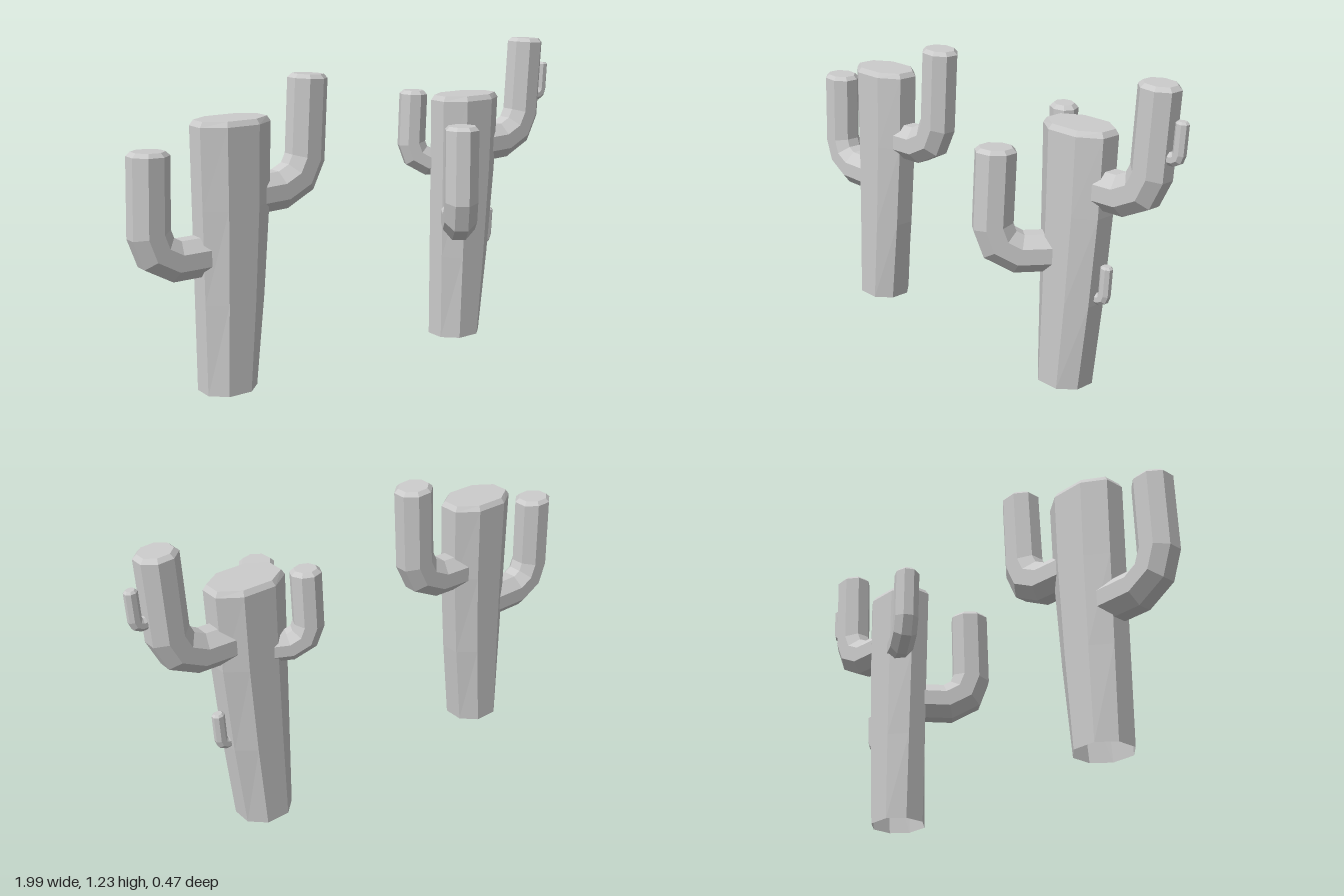
import * as THREE from 'three';

const material = new THREE.MeshStandardMaterial({ color: 0xcccccc, flatShading: true, side: THREE.DoubleSide });
const SIDES = 8;

// Skins a list of eight-point rings and closes the last one with a flat cap
function loft(rings, name) {
  const last = rings.length - 1;
  const centre = rings[last].reduce((s, p) => s.add(p), new THREE.Vector3()).divideScalar(SIDES);
  const points = [...rings.flat(), centre];
  const index = [];
  for (let i = 0; i <= last; i++) {
    for (let j = 0; j < SIDES; j++) {
      const a = i * SIDES + j;
      const b = i * SIDES + (j + 1) % SIDES;
      if (i < last) index.push(a, b, b + SIDES, a, b + SIDES, a + SIDES);
      else index.push(a, b, points.length - 1);
    }
  }
  const geometry = new THREE.BufferGeometry().setFromPoints(points);
  geometry.setIndex(index);
  geometry.computeVertexNormals();
  const mesh = new THREE.Mesh(geometry, material);
  mesh.name = name;
  return mesh;
}

// Bent limb: path of [outward, up] points, mitred at each bend, bevelled tip
function limb(name, path, width, depth, bevel = 0.015) {
  const pts = path.map(([x, y]) => new THREE.Vector2(x, y));
  const n = pts.length;
  const endDir = pts[n - 1].clone().sub(pts[n - 2]).normalize();
  const tip = pts[n - 1].clone();
  pts[n - 1].addScaledVector(endDir, -bevel);
  pts.push(tip);
  const rings = pts.map((p, i) => {
    const before = p.clone().sub(pts[Math.max(i - 1, 0)]).normalize();
    const after = pts[Math.min(i + 1, n)].clone().sub(p).normalize();
    const t = before.clone().add(after).normalize();
    const mitre = i > 0 && i < n ? 1 / Math.max(t.dot(after), 0.8) : 1;
    const s = (i === n ? 1 - bevel / width : 1) / Math.cos(Math.PI / SIDES);
    return Array.from({ length: SIDES }, (_, j) => {
      const a = (j + 0.5) * 2 * Math.PI / SIDES;
      const u = Math.cos(a) * width * s * mitre;
      return new THREE.Vector3(p.x - t.y * u, p.y + t.x * u, Math.sin(a) * depth * s);
    });
  });
  return loft(rings, name);
}

// Places a limb so that it grows towards (dx, dz)
function place(mesh, x, y, z, dx, dz) {
  mesh.position.set(x, y, z);
  mesh.rotation.y = Math.atan2(-dz, dx);
  return mesh;
}

// Trunk: straight on one side, flaring on the other, open underneath
function trunk() {
  const section = [[-1, -0.42], [-1, 0.42], [-0.45, 1], [0.45, 1], [1, 0.42], [1, -0.42], [0.45, -1], [-0.45, -1]];
  const levels = [ // height, left, right, half depth
    [0, -0.135, 0.075, 0.095], [0.35, -0.135, 0.115, 0.095], [0.7, -0.135, 0.145, 0.095],
    [1.0, -0.135, 0.157, 0.095], [1.02, -0.122, 0.145, 0.083],
  ];
  return loft(levels.map(([y, l, r, d]) => section.map(([u, v]) =>
    new THREE.Vector3((l + r) / 2 + u * (r - l) / 2, y, v * d))), 'trunk');
}

const lowPath = [[0.08, 0], [0.23, 0], [0.3, 0.04], [0.325, 0.11], [0.315, 0.405]];
const highPath = [[0.08, 0], [0.22, 0.005], [0.3, 0.045], [0.335, 0.115], [0.353, 0.43]];
const budPath = [[0, 0], [0.035, 0], [0.05, 0.008], [0.057, 0.025], [0.063, 0.137]];

const lowArm = (name, scale = 1) =>
  limb(name, lowPath.map(([x, y]) => [x * scale, y * scale]), 0.073 * scale, 0.065 * scale);
const highArm = () => limb('highArm', highPath, 0.073, 0.065);
const bud = (name) => limb(name, budPath, 0.023, 0.02, 0.008);

export function createModel() {
  const model = new THREE.Group();

  // Two-armed cactus
  const first = new THREE.Group();
  first.name = 'twoArmedCactus';
  first.position.set(-0.6, 0, -0.08);
  first.add(
    trunk(),
    place(lowArm('lowArm'), 0, 0.525, -0.008, -1, 0),
    place(highArm(), 0, 0.725, -0.008, 1, 0),
  );

  // Three-armed cactus with small buds
  const second = new THREE.Group();
  second.name = 'threeArmedCactus';
  second.position.set(0.515, 0, -0.08);
  second.add(
    trunk(),
    place(lowArm('frontArm'), -0.005, 0.525, -0.035, -0.59, 0.81),
    place(lowArm('backArm', 0.74), 0.035, 0.737, -0.005, -0.9, -0.44),
    place(highArm(), 0, 0.8, -0.008, 1, 0),
    place(bud('trunkBud'), 0.093, 0.378, -0.006, 1, 0),
    place(bud('armBud'), 0.393, 0.983, -0.006, 1, 0),
  );

  model.add(first, second);
  return model;
}
